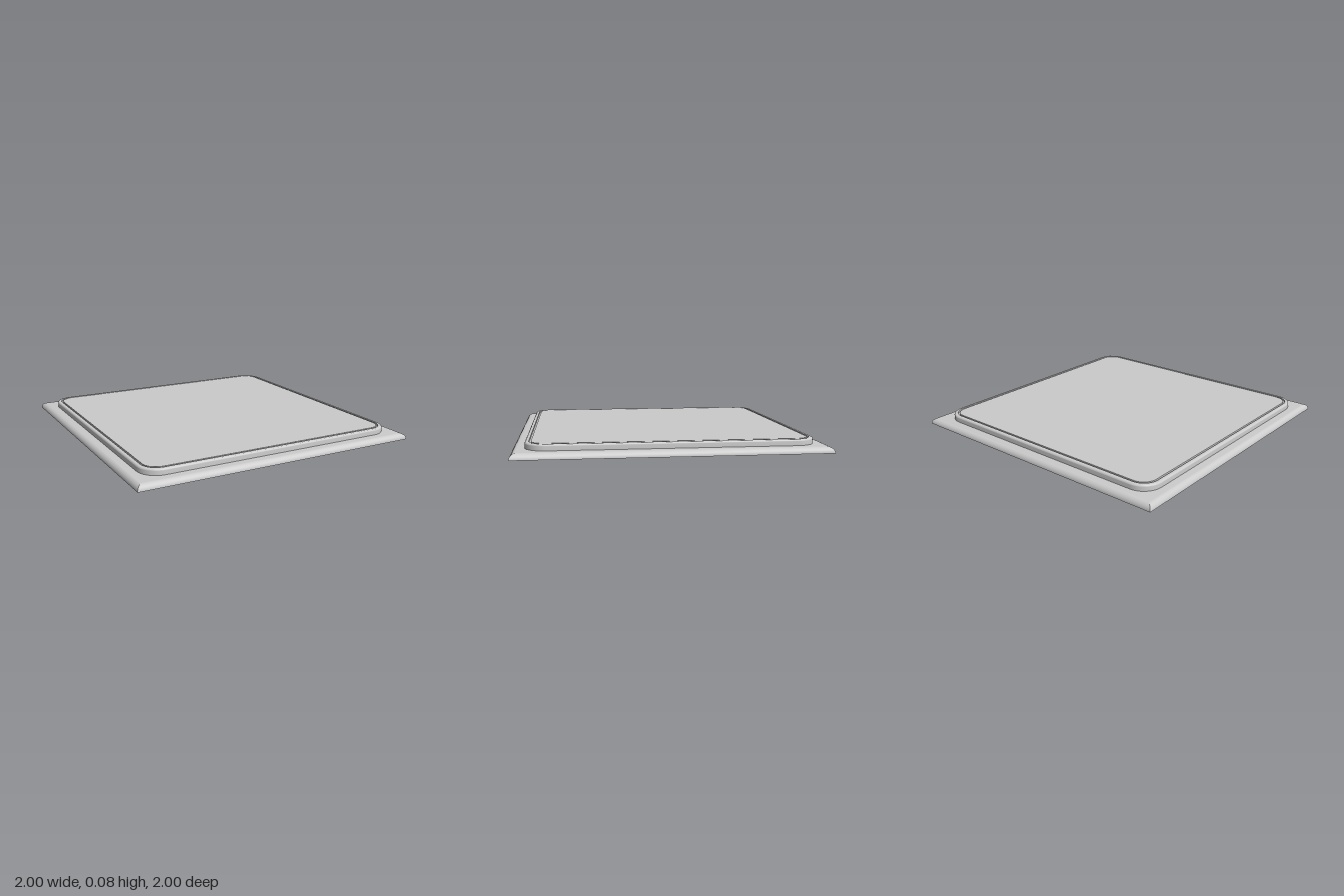
import * as THREE from 'three';
import { toCreasedNormals } from 'three/addons/utils/BufferGeometryUtils.js';

const material = new THREE.MeshStandardMaterial({ color: 0xcccccc });

// Lofts square rings [halfWidth, y], listed from the bottom outward and up to the top centre.
// Corners stay concentric around +-inset and have `segments` steps (0 = sharp corner).
function loftSquare(name, profile, inset, segments) {
  const ring = ([half, y]) => {
    const points = [];
    const radius = segments ? Math.max(0, half - inset) : 0;
    const c = half - radius;
    for (let corner = 0; corner < 4; corner++) {
      const mid = (corner + 0.5) * Math.PI / 2;
      const cx = Math.sign(Math.cos(mid)) * c, cz = Math.sign(Math.sin(mid)) * c;
      for (let i = 0; i <= segments; i++) {
        const a = (corner + (segments ? i / segments : 0)) * Math.PI / 2;
        points.push([cx + radius * Math.cos(a), y, cz + radius * Math.sin(a)]);
      }
    }
    return points;
  };
  const positions = [];
  for (let k = 0; k < profile.length - 1; k++) {
    const low = ring(profile[k]), high = ring(profile[k + 1]);
    for (let j = 0; j < low.length; j++) {
      const n = (j + 1) % low.length;
      if (profile[k][0] > 0) positions.push(...low[j], ...high[j], ...low[n]);
      if (profile[k + 1][0] > 0) positions.push(...low[n], ...high[j], ...high[n]);
    }
  }
  const geometry = new THREE.BufferGeometry();
  geometry.setAttribute('position', new THREE.Float32BufferAttribute(positions, 3));
  const mesh = new THREE.Mesh(toCreasedNormals(geometry, 0.35), material);
  mesh.name = name;
  return mesh;
}

// Quarter-round edge from the vertical side to the flat top
function roundedEdge(half, top, radius, steps) {
  return Array.from({ length: steps + 1 }, (_, i) => {
    const a = (i / steps) * Math.PI / 2;
    return [half - radius + radius * Math.cos(a), top - radius + radius * Math.sin(a)];
  });
}

export function createModel() {
  const group = new THREE.Group();
  group.name = 'tile';

  // Square base with a quarter-round edge and mitred corners
  group.add(loftSquare('base', [
    [0, 0], ...roundedEdge(1, 0.04, 0.04, 8), [0, 0.04],
  ], 0, 0));

  // Raised panel with rounded corners and a thin groove around its top
  group.add(loftSquare('raisedPanel', [
    [0.918, 0.038],
    ...roundedEdge(0.918, 0.08, 0.012, 5),
    [0.892, 0.08], [0.892, 0.068],
    [0.879, 0.068], [0.879, 0.08],
    [0, 0.08],
  ], 0.785, 12));

  return group;
}
